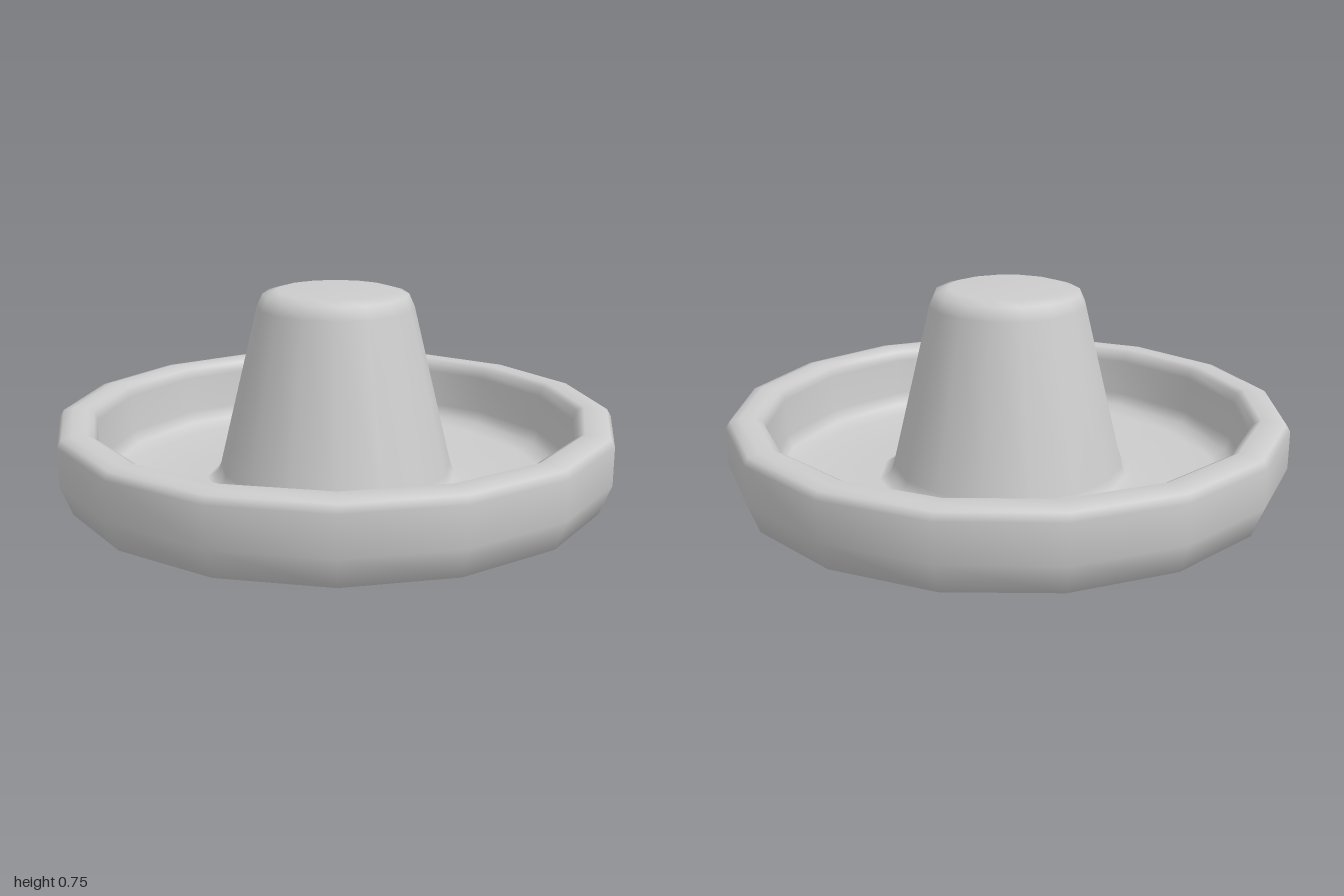
import * as THREE from 'three';

// Cross-sections as [radius, height]
const underside = [
  [0, 0.69], [0.19, 0.69], [0.22, 0.66],        // closed top of the hollow
  [0.35, 0.07], [0.37, 0.02], [0.41, 0],        // hollow wall and rounded mouth
];
const brim = [
  [0.86, 0], [0.96, 0.045], [1, 0.15],          // rounded lower edge
  [1, 0.285], [0.985, 0.31], [0.95, 0.318],     // outer wall and lip
  [0.9, 0.318], [0.875, 0.305], [0.865, 0.27],
  [0.86, 0.13], [0.84, 0.085], [0.78, 0.06],    // inner wall curving into the floor
];
const crown = [
  [0.47, 0.055], [0.435, 0.075], [0.42, 0.11],  // foot of the cone
  [0.28, 0.69], [0.26, 0.735], [0.21, 0.75], [0, 0.75],
];

export function createModel() {
  const group = new THREE.Group();
  group.name = 'wideBrimmedHat';

  // One closed, 16-sided turned shell
  const profile = [...underside, ...brim, ...crown].map(([r, y]) => new THREE.Vector2(r, y));
  const material = new THREE.MeshStandardMaterial({ color: 0xcccccc });
  const hat = new THREE.Mesh(new THREE.LatheGeometry(profile, 16), material);
  hat.name = 'hatShell';
  group.add(hat);
  return group;
}
